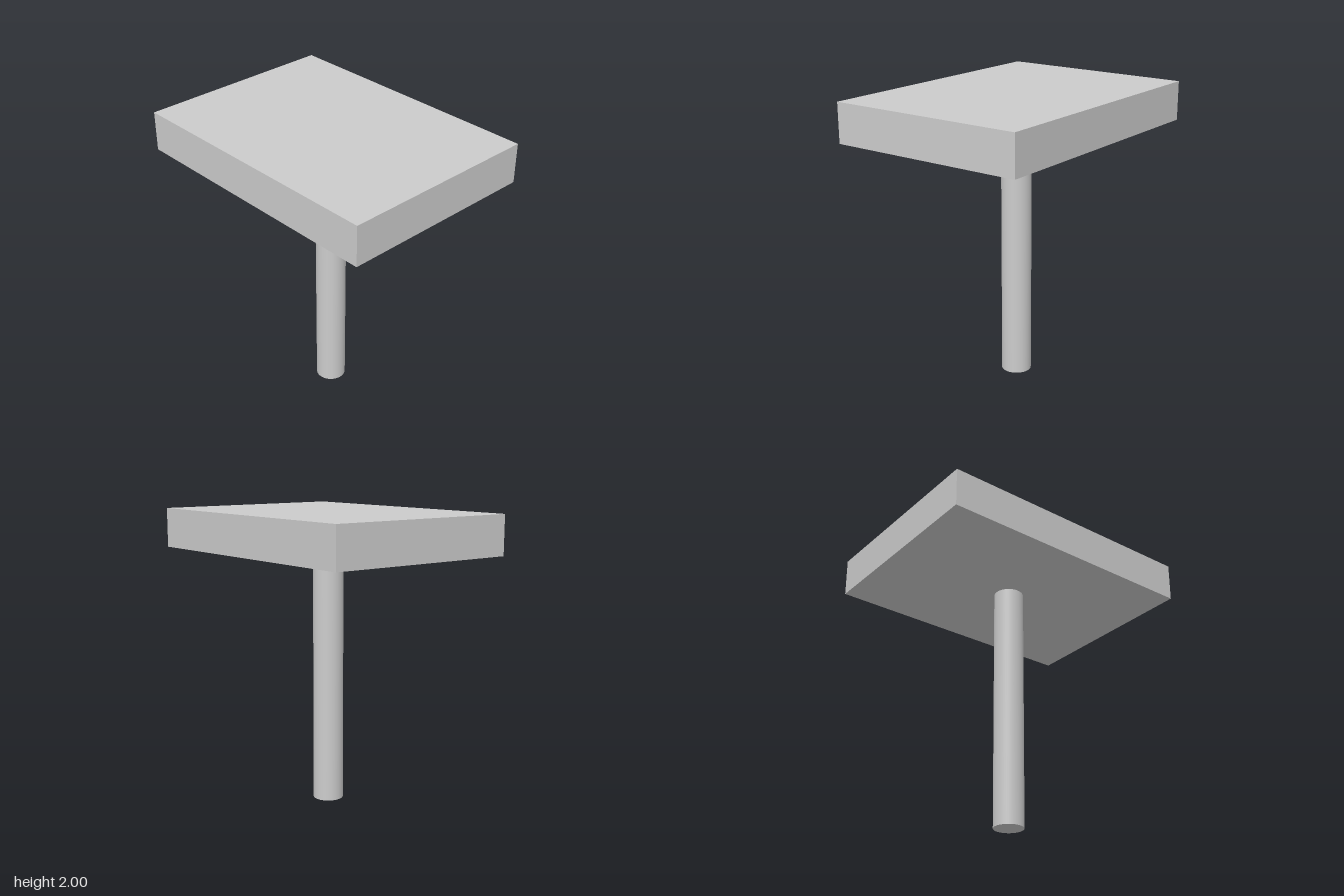
import * as THREE from 'three';

const WIDTH = 1.89, DEPTH = 1.38, THICKNESS = 0.27, HEIGHT = 2, RADIUS = 0.103;

export function createModel() {
  const group = new THREE.Group();
  group.name = 'pedestalTable';
  const material = new THREE.MeshStandardMaterial({ color: 0xcccccc });

  // Thick rectangular slab
  const top = new THREE.Mesh(new THREE.BoxGeometry(WIDTH, THICKNESS, DEPTH), material);
  top.name = 'tableTop';
  top.position.y = HEIGHT - THICKNESS / 2;

  // Round central post, from the ground to the underside of the slab
  const postHeight = HEIGHT - THICKNESS;
  const post = new THREE.Mesh(new THREE.CylinderGeometry(RADIUS, RADIUS, postHeight, 48), material);
  post.name = 'post';
  post.position.y = postHeight / 2;

  group.add(top, post);
  return group;
}
